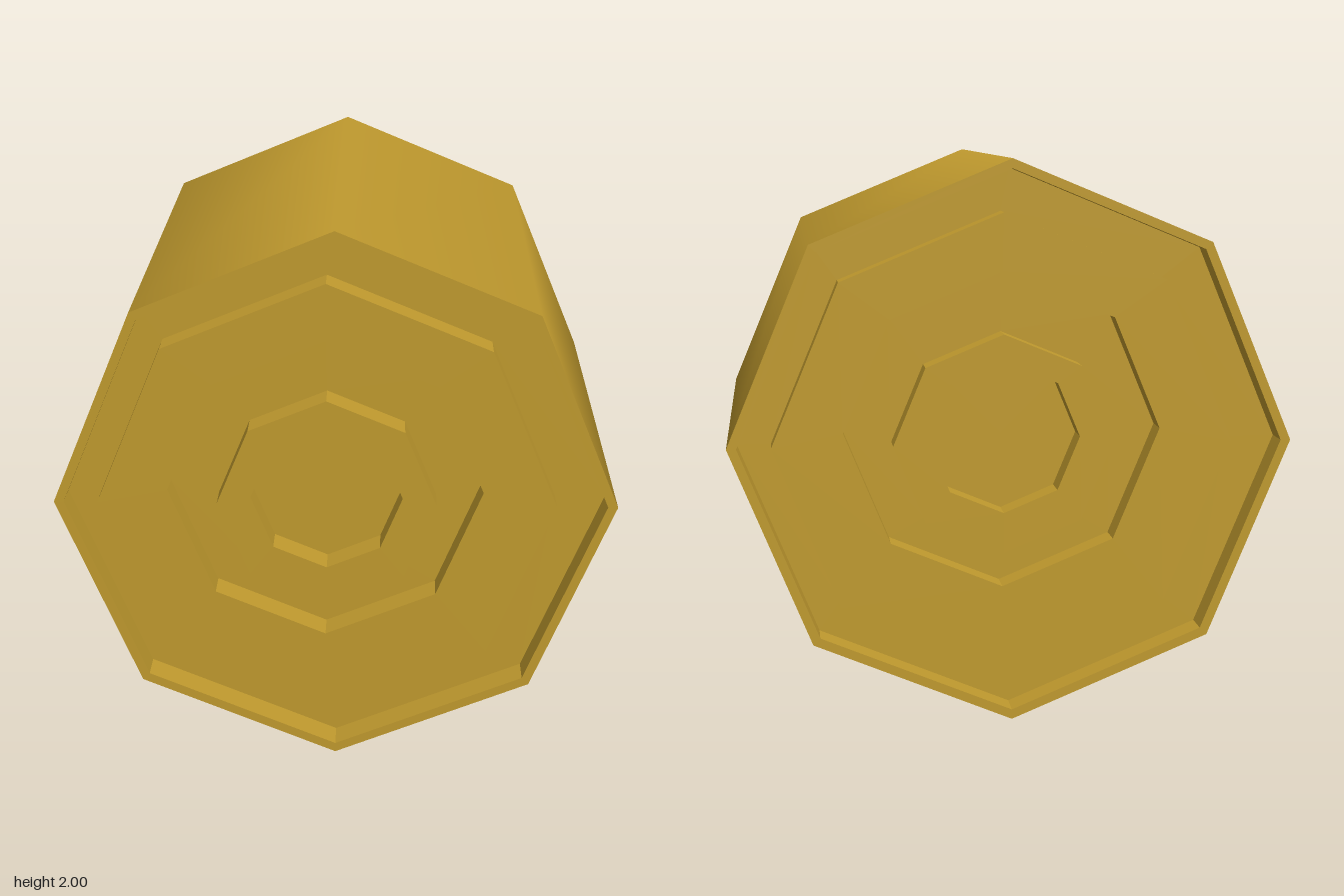
import * as THREE from 'three';

const SIDES = 8, HALF = 0.915, DEEP = 0.11;

// Rings of one end, from rim to centre: [x, y, radius, depth]
const endRings = [
  [0, 0, 1, 0],
  [0, 0, 0.965, 0], [0, 0, 0.965, DEEP],               // rim and outer groove
  [-0.03, 0, 0.815, DEEP], [-0.03, 0, 0.815, 0],       // wide raised ring
  [-0.035, 0.05, 0.56, 0], [-0.035, 0.05, 0.56, DEEP], // inner groove
  [-0.03, 0, 0.39, DEEP], [-0.03, 0, 0.39, 0],         // small raised ring
  [-0.03, 0.025, 0.27, 0], [-0.03, 0.025, 0.27, DEEP], // centre recess
  [-0.03, 0.025, 0, DEEP],                             // recess floor
];

// Flat-faced stepped end built by joining successive octagons
function steppedEnd() {
  const point = ([x, y, r, depth], i) => {
    const a = (i / SIDES) * Math.PI * 2;
    return [x + r * Math.cos(a), y + r * Math.sin(a), HALF - depth];
  };
  const pos = [];
  for (let k = 0; k < endRings.length - 1; k++) {
    const outer = endRings[k], inner = endRings[k + 1];
    for (let i = 0; i < SIDES; i++) {
      const a = point(outer, i), b = point(outer, i + 1);
      const c = point(inner, i + 1), d = point(inner, i);
      pos.push(...a, ...b, ...c);
      if (inner[2] > 0) pos.push(...a, ...c, ...d);
    }
  }
  const geo = new THREE.BufferGeometry();
  geo.setAttribute('position', new THREE.Float32BufferAttribute(pos, 3));
  geo.computeVertexNormals();
  return geo;
}

export function createModel() {
  const model = new THREE.Group();
  model.name = 'octagonalBarrel';
  const gold = new THREE.MeshStandardMaterial({ color: 0xc09a2e });

  const add = (name, geo) => {
    const mesh = new THREE.Mesh(geo, gold);
    mesh.name = name;
    mesh.position.y = 1;
    model.add(mesh);
    return mesh;
  };

  // Smooth-shaded eight-sided body lying along z, with corners at top and sides
  add('body', new THREE.CylinderGeometry(1, 1, HALF * 2, SIDES, 1, true).rotateX(Math.PI / 2));

  // The same stepped end, turned half round for the back
  const end = steppedEnd();
  add('frontEnd', end);
  add('backEnd', end).rotation.y = Math.PI;

  return model;
}
